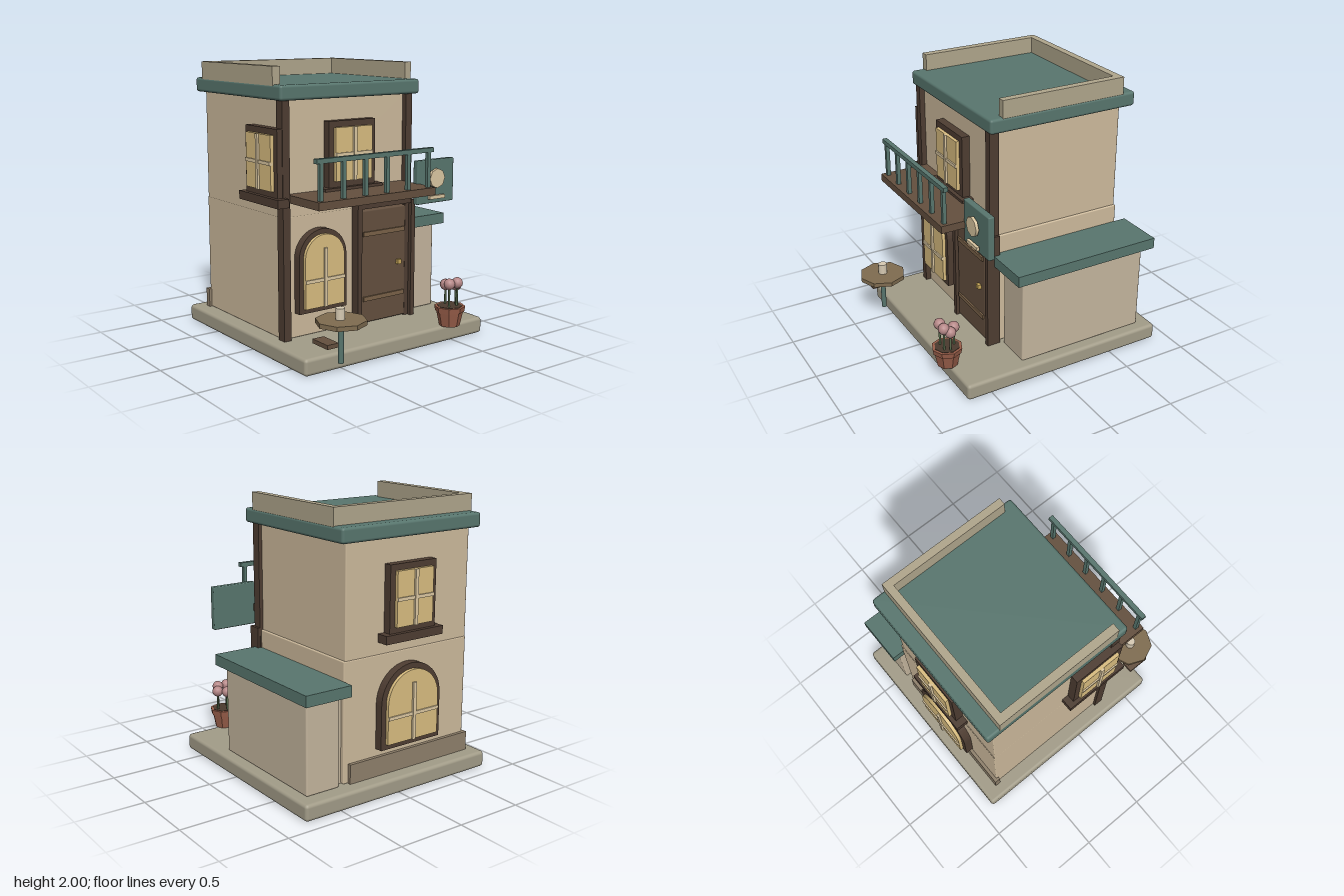
import * as THREE from 'three';
import { RoundedBoxGeometry } from 'three/addons/geometries/RoundedBoxGeometry.js';

const mat = (color, flatShading = false) => new THREE.MeshStandardMaterial({ color, flatShading });
const M = {
  wall: mat(0xcdba9c), annex: mat(0xc4b59d), base: mat(0xa29c88), teal: mat(0x58766e), parapet: mat(0xb0a68c),
  dark: mat(0x4e3d32), brown: mat(0x64503f), strap: mat(0x7a6248), table: mat(0x7f6c50, true),
  glass: mat(0xd9bd80), bar: mat(0xdcc8a2), brass: mat(0xc9a85a), pot: mat(0x9a5f4a, true),
  soil: mat(0x4a3a2e), flower: mat(0xb58787), stem: mat(0x5b7050), plinth: mat(0x8f806b), cup: mat(0xd8cbb4),
};

export function createModel() {
  const root = new THREE.Group();

  const add = (name, geo, material, parent = root) => {
    const mesh = new THREE.Mesh(geo, material);
    mesh.name = name;
    parent.add(mesh);
    return mesh;
  };
  // Box given by its extents; r rounds the edges
  const box = (name, material, [x0, x1], [y0, y1], [z0, z1], r = 0, parent = root) => {
    const s = [x1 - x0, y1 - y0, z1 - z0];
    const m = add(name, r ? new RoundedBoxGeometry(...s, 2, r) : new THREE.BoxGeometry(...s), material, parent);
    m.position.set((x0 + x1) / 2, (y0 + y1) / 2, (z0 + z1) / 2);
    return m;
  };
  const cyl = (name, material, rTop, rBottom, y0, y1, x, z, sides, parent = root) => {
    const m = add(name, new THREE.CylinderGeometry(rTop, rBottom, y1 - y0, sides), material, parent);
    m.position.set(x, (y0 + y1) / 2, z);
    return m;
  };

  // Outline of a window, with a round or a straight top
  const outline = (hw, y0, y1, arched, Type = THREE.Shape) => {
    const s = new Type();
    s.moveTo(-hw, y0);
    s.lineTo(hw, y0);
    if (arched) {
      s.lineTo(hw, y1 - hw);
      s.absarc(0, y1 - hw, hw, 0, Math.PI, false);
    } else {
      s.lineTo(hw, y1);
      s.lineTo(-hw, y1);
    }
    s.closePath();
    return s;
  };
  const extrude = (shape, depth) => new THREE.ExtrudeGeometry(shape, { depth, bevelEnabled: false, curveSegments: 14 });

  // Window facing +z with its wall plane at z = 0
  const windowUnit = (name, x, z, turn, { hw, y0, y1, t, arched = false, sill = false }) => {
    const g = new THREE.Group();
    g.name = name;
    const frame = outline(hw, y0, y1, arched);
    frame.holes.push(outline(hw - t, y0 + t, y1 - t, arched, THREE.Path));
    add('windowFrame', extrude(frame, 0.06), M.dark, g);
    add('windowPane', extrude(outline(hw - t, y0 + t, y1 - t, arched), 0.085), M.glass, g);
    const top = arched ? y1 - 0.13 : y1 - t, mid = arched ? y0 + 0.23 : (y0 + y1) / 2;
    box('verticalBar', M.bar, [-0.013, 0.013], [y0 + t, top], [0.07, 0.1], 0, g);
    box('horizontalBar', M.bar, [t - hw, hw - t], [mid - 0.012, mid + 0.012], [0.07, 0.095], 0, g);
    if (sill) box('windowSill', M.dark, [-0.25, 0.25], [y0 - 0.06, y0], [0, 0.09], 0, g);
    g.position.set(x, 0, z);
    g.rotation.y = turn;
    root.add(g);
  };

  // Ground slab and main body
  box('groundSlab', M.base, [-0.8, 0.795], [0, 0.12], [-0.9, 0.69], 0.025);
  box('lowerWalls', M.wall, [-0.69, 0.4], [0.12, 0.985], [-0.77, 0.265], 0.008);
  box('upperWalls', M.wall, [-0.69, 0.385], [0.975, 1.79], [-0.765, 0.265], 0.008);
  box('rearPlinth', M.plinth, [-0.71, 0.36], [0.12, 0.26], [-0.795, -0.75]);
  for (const x of [-0.71, 0.355]) box('cornerPost', M.dark, [x, x + 0.057], [0.12, 1.78], [0.232, 0.305]);

  // Flat roof with a parapet on three sides
  box('roofSlab', M.teal, [-0.735, 0.465], [1.775, 1.88], [-0.835, 0.325], 0.02);
  box('parapetLeft', M.parapet, [0.405, 0.46], [1.87, 2], [-0.735, 0.23]);
  box('parapetRight', M.parapet, [-0.735, -0.675], [1.87, 2], [-0.735, 0.23]);
  box('parapetBack', M.parapet, [-0.675, 0.405], [1.87, 2], [-0.735, -0.68]);

  // Side annex
  box('annexWalls', M.annex, [0.45, 0.715], [0.12, 0.78], [-0.79, 0.215], 0.012);
  box('annexJoint', M.annex, [0.38, 0.46], [0.12, 0.78], [-0.74, 0.17]);
  box('annexRoof', M.teal, [0.4, 0.765], [0.77, 0.85], [-0.86, 0.28]);

  // Windows
  const square = { hw: 0.2, t: 0.043, sill: true };
  windowUnit('frontUpperWindow', -0.145, 0.265, 0, { ...square, y0: 1.16, y1: 1.62 });
  windowUnit('backUpperWindow', -0.138, -0.765, Math.PI, { ...square, y0: 1.13, y1: 1.6 });
  windowUnit('sideUpperWindow', -0.69, 0.1, -Math.PI / 2, { ...square, y0: 1.125, y1: 1.59 });
  windowUnit('frontArchedWindow', -0.4, 0.27, 0, { hw: 0.2, y0: 0.3, y1: 0.885, t: 0.035, arched: true });
  windowUnit('backArchedWindow', -0.138, -0.77, Math.PI, { hw: 0.262, y0: 0.315, y1: 0.9, t: 0.04, arched: true });

  // Door with frame, straps and knob
  box('doorJamb', M.dark, [-0.1, -0.062], [0.12, 1], [0.235, 0.335]);
  box('doorJamb', M.dark, [0.393, 0.43], [0.12, 1], [0.235, 0.335]);
  box('doorLintel', M.dark, [-0.1, 0.385], [0.98, 1.02], [0.235, 0.34]);
  box('door', M.brown, [-0.06, 0.355], [0.13, 0.965], [0.25, 0.315], 0.012);
  for (const y of [0.295, 0.775]) box('doorStrap', M.strap, [-0.04, 0.335], [y, y + 0.032], [0.305, 0.327]);
  box('doorKnob', M.brass, [0.266, 0.3], [0.532, 0.566], [0.31, 0.34]);

  // Balcony
  box('balconyDeck', M.brown, [-0.655, 0.35], [1.085, 1.14], [0.25, 0.645]);
  box('balconyRail', M.teal, [-0.655, 0.35], [1.388, 1.42], [0.586, 0.622]);
  for (let i = 0; i < 6; i++) {
    const x = -0.615 + i * 0.185;
    box('baluster', M.teal, [x - 0.014, x + 0.014], [1.13, 1.395], [0.59, 0.618]);
  }

  // Hanging sign board with plain ornaments
  box('signBoard', M.teal, [0.335, 0.685], [0.985, 1.305], [0.418, 0.466], 0.008);
  const disc = cyl('signDisc', M.bar, 0.072, 0.072, 1.16, 1.182, 0.5, 0.487, 8);
  disc.rotation.x = Math.PI / 2;
  box('signStrip', M.bar, [0.43, 0.577], [1.02, 1.046], [0.476, 0.498]);

  // Small table, stool and cup
  cyl('tableTop', M.table, 0.175, 0.175, 0.33, 0.362, -0.54, 0.73, 8);
  cyl('tableLeg', M.teal, 0.02, 0.02, 0.06, 0.335, -0.543, 0.73, 8);
  box('stoolSeat', M.brown, [-0.695, -0.605], [0.198, 0.228], [0.62, 0.79]);
  cyl('cup', M.cup, 0.034, 0.034, 0.36, 0.44, -0.545, 0.725, 10);

  // Flower pot
  const px = 0.47, pz = 0.685;
  cyl('pot', M.pot, 0.1, 0.075, 0.12, 0.24, px, pz, 8);
  cyl('potRim', M.pot, 0.112, 0.105, 0.225, 0.265, px, pz, 8);
  cyl('soil', M.soil, 0.092, 0.092, 0.255, 0.268, px, pz, 8);
  const flowers = [[0.43, 0.437, 0.72], [0.503, 0.437, 0.723], [0.527, 0.41, 0.685], [0.474, 0.41, 0.632]];
  for (const [x, y, z] of flowers) {
    cyl('stem', M.stem, 0.008, 0.008, 0.255, y, x, z, 6);
    add('blossom', new THREE.SphereGeometry(0.041, 14, 10), M.flower).position.set(x, y, z);
  }

  return root;
}
